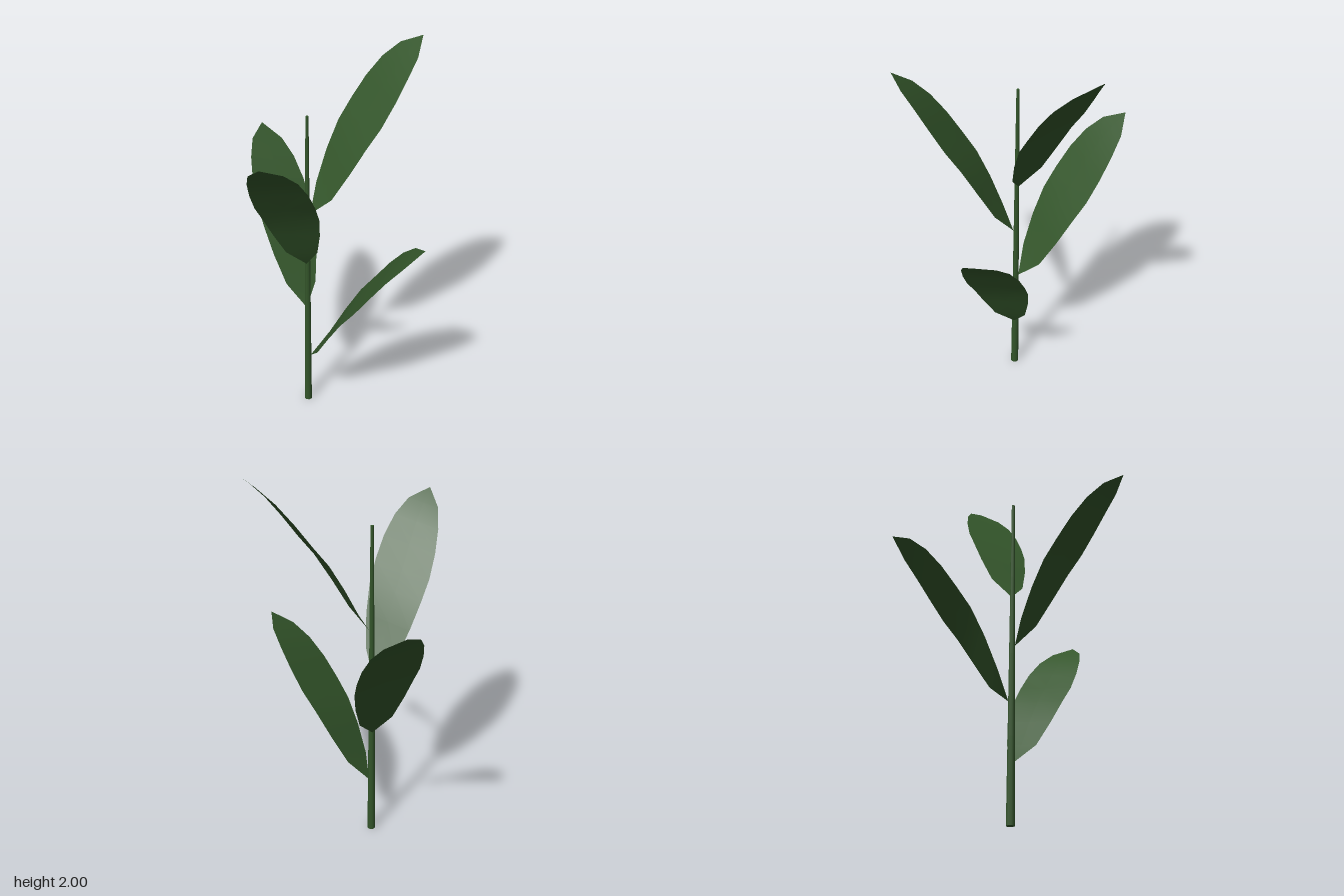
import * as THREE from 'three';

const stemX = -0.08, stemZ = -0.065;

// One arching blade growing along +x; its -z edge is rolled slightly upward.
function leafGeometry(rise) {
  const heights = [0, 0.11, 0.25, 0.377, 0.475, 0.58, 0.675, 0.75, 0.81];
  const steps = heights.length - 1;
  const positions = [], indices = [];
  heights.forEach((h, i) => {
    const t = i / steps;
    const r = 0.015 + 0.605 * t;
    const w = 0.15 * Math.pow(Math.max(0, Math.sin(Math.PI * t)), 0.62);
    for (const side of [-1, 0, 1]) {
      positions.push(r, h * rise / 0.81 - side * w * 0.17, side * w);
    }
  });
  for (let i = 0; i < steps; i++) {
    for (let j = 0; j < 2; j++) {
      const a = i * 3 + j, b = a + 1, c = a + 3, d = a + 4;
      indices.push(a, b, c, b, d, c);
    }
  }
  const geometry = new THREE.BufferGeometry();
  geometry.setAttribute('position', new THREE.Float32BufferAttribute(positions, 3));
  geometry.setIndex(indices);
  geometry.computeVertexNormals();
  return geometry;
}

export function createModel() {
  const model = new THREE.Group();
  model.name = 'plant';
  const leafGreen = new THREE.MeshStandardMaterial({ color: 0x33552a, side: THREE.DoubleSide });
  leafGreen.name = 'leaf green';

  // Tapered upright stem
  const stem = new THREE.Mesh(new THREE.CylinderGeometry(0.008, 0.021, 1.7, 8, 4), leafGreen);
  stem.name = 'stem';
  stem.position.set(stemX, 0.85, stemZ);
  model.add(stem);

  // Leaves spiral up the stem: base height, rise, heading in degrees from +x toward +z
  const leaves = [
    [0.3, 0.81, -1.4],
    [0.6, 0.815, 221.5],
    [0.89, 0.82, 83.5],
    [1.17, 0.83, -51.5],
  ];
  leaves.forEach(([y, rise, heading], i) => {
    const leaf = new THREE.Mesh(leafGeometry(rise), leafGreen);
    leaf.name = `leaf${i + 1}`;
    leaf.position.set(stemX, y, stemZ);
    leaf.rotation.y = -THREE.MathUtils.degToRad(heading);
    model.add(leaf);
  });
  return model;
}
